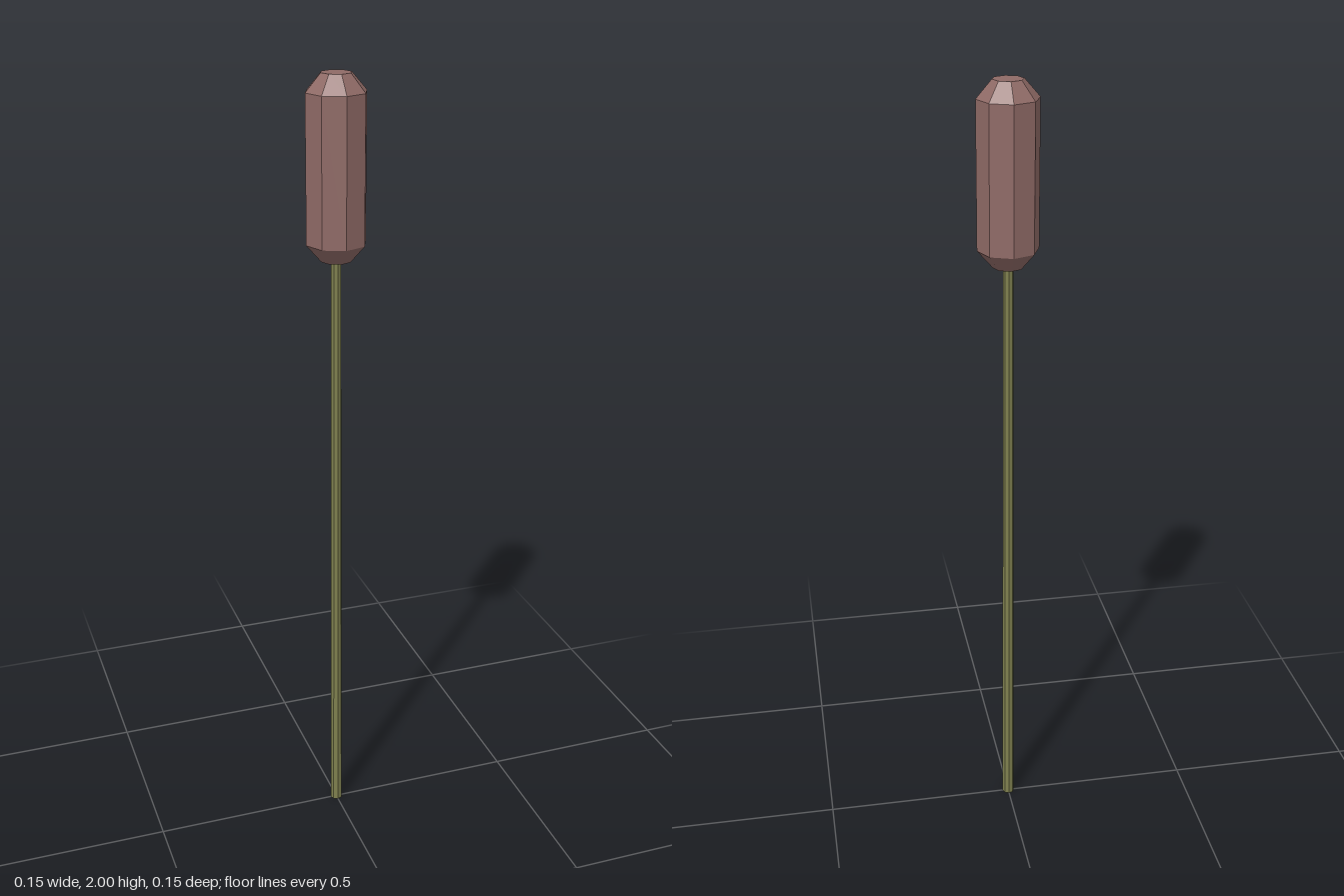
import * as THREE from 'three';

const SIDES = 8;

export function createModel() {
  const brown = new THREE.MeshStandardMaterial({ color: 0x8f6a66, flatShading: true });
  brown.name = 'dusty brown';
  const green = new THREE.MeshStandardMaterial({ color: 0x7f804f, flatShading: true });
  green.name = 'reed green';

  const group = new THREE.Group();
  group.name = 'reed';
  const add = (name, geometry, material) => {
    const mesh = new THREE.Mesh(geometry, material);
    mesh.name = name;
    group.add(mesh);
    return mesh;
  };

  // Slender stem, slightly tapered towards the head
  const stem = add('stem', new THREE.CylinderGeometry(0.0125, 0.016, 1.57, SIDES), green);
  stem.position.y = 0.785;

  // Seed head: eight-sided prism with bevelled ends and a flat top
  const profile = [[0.0375, 1.56], [0.075, 1.603], [0.075, 1.957], [0.0375, 2], [0, 2]];
  add('seedHead', new THREE.LatheGeometry(profile.map(([r, y]) => new THREE.Vector2(r, y)), SIDES), brown);

  // Green underside where the stem meets the head
  const base = add('headBase', new THREE.CircleGeometry(0.0375, SIDES), green);
  base.rotation.x = Math.PI / 2;
  base.position.y = 1.56;

  return group;
}
